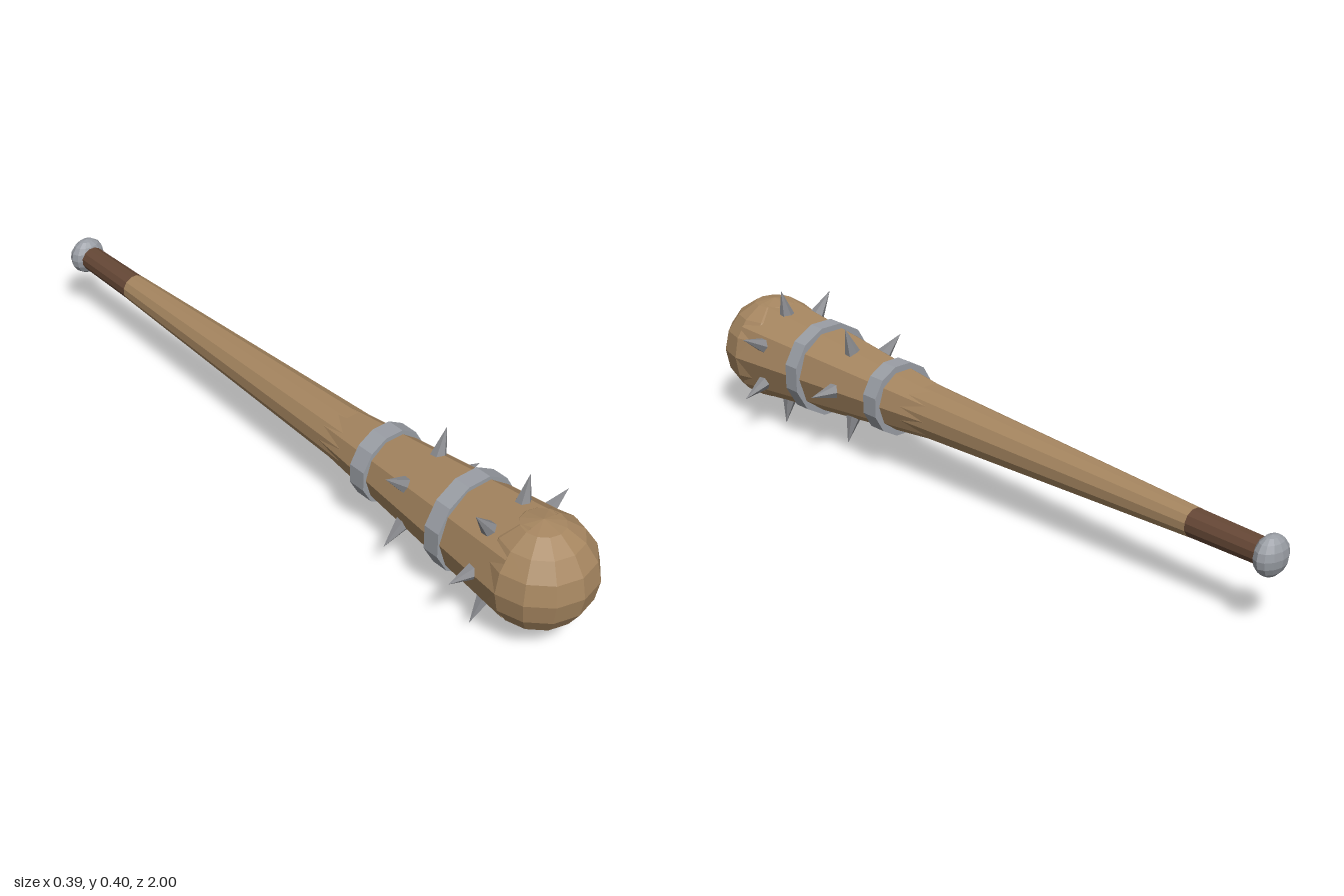
import * as THREE from 'three';

export function createModel() {
  const mat = (name, color) => {
    const m = new THREE.MeshStandardMaterial({ color, flatShading: true });
    m.name = name;
    return m;
  };
  const wood = mat('wood', 0xa68660);
  const leather = mat('darkGrip', 0x664836);
  const steel = mat('bandMetal', 0x9a9ea5);
  const iron = mat('spikeMetal', 0x898a8e);

  const group = new THREE.Group();
  group.name = 'spikedClub';
  // everything sits around one axis running along z
  const club = new THREE.Group();
  club.name = 'clubAxis';
  club.position.set(0.009, 0.2, 0);
  group.add(club);

  const add = (name, geometry, material) => {
    const mesh = new THREE.Mesh(geometry, material);
    mesh.name = name;
    club.add(mesh);
    return mesh;
  };
  // faceted frustum along z from zBack to zFront, turned by spin around z
  const frustum = (name, zBack, rBack, zFront, rFront, sides, spin, material) => {
    const g = new THREE.CylinderGeometry(rFront, rBack, zFront - zBack, sides);
    g.rotateX(Math.PI / 2).rotateZ(spin).translate(0, 0, (zFront + zBack) / 2);
    return add(name, g, material);
  };

  // wooden body: rounded head, thick tapered barrel and slim handle
  add('headBall', new THREE.SphereGeometry(0.145, 12, 8), wood).position.z = 0.855;
  frustum('barrel', 0.1, 0.064, 0.855, 0.145, 10, Math.PI / 2, wood);
  frustum('handle', -0.735, 0.038, 0.3, 0.077, 12, Math.PI / 12, wood);

  // grip and flattened pommel
  frustum('grip', -0.96, 0.034, -0.73, 0.0375, 12, Math.PI / 12, leather);
  const pommel = add('pommel', new THREE.SphereGeometry(0.052, 12, 8), steel);
  pommel.position.z = -0.965;
  pommel.scale.z = 0.035 / 0.052;

  // metal bands
  frustum('frontBand', 0.6, 0.132, 0.647, 0.132, 12, Math.PI / 12, steel);
  frustum('rearBand', 0.3, 0.102, 0.35, 0.102, 12, Math.PI / 12, steel);

  // rings of spikes pointing outwards
  const spikeRing = (name, count, z, rTip, start) => {
    const length = 0.08;
    for (let i = 0; i < count; i++) {
      const a = start + (i / count) * Math.PI * 2;
      const spike = add(name, new THREE.ConeGeometry(0.022, length, 6), iron);
      const r = rTip - length / 2;
      spike.position.set(Math.cos(a) * r, Math.sin(a) * r, z);
      spike.rotation.z = a - Math.PI / 2;
    }
  };
  spikeRing('frontSpike', 7, 0.763, 0.203, Math.PI);
  spikeRing('rearSpike', 5, 0.475, 0.175, 0);

  return group;
}
